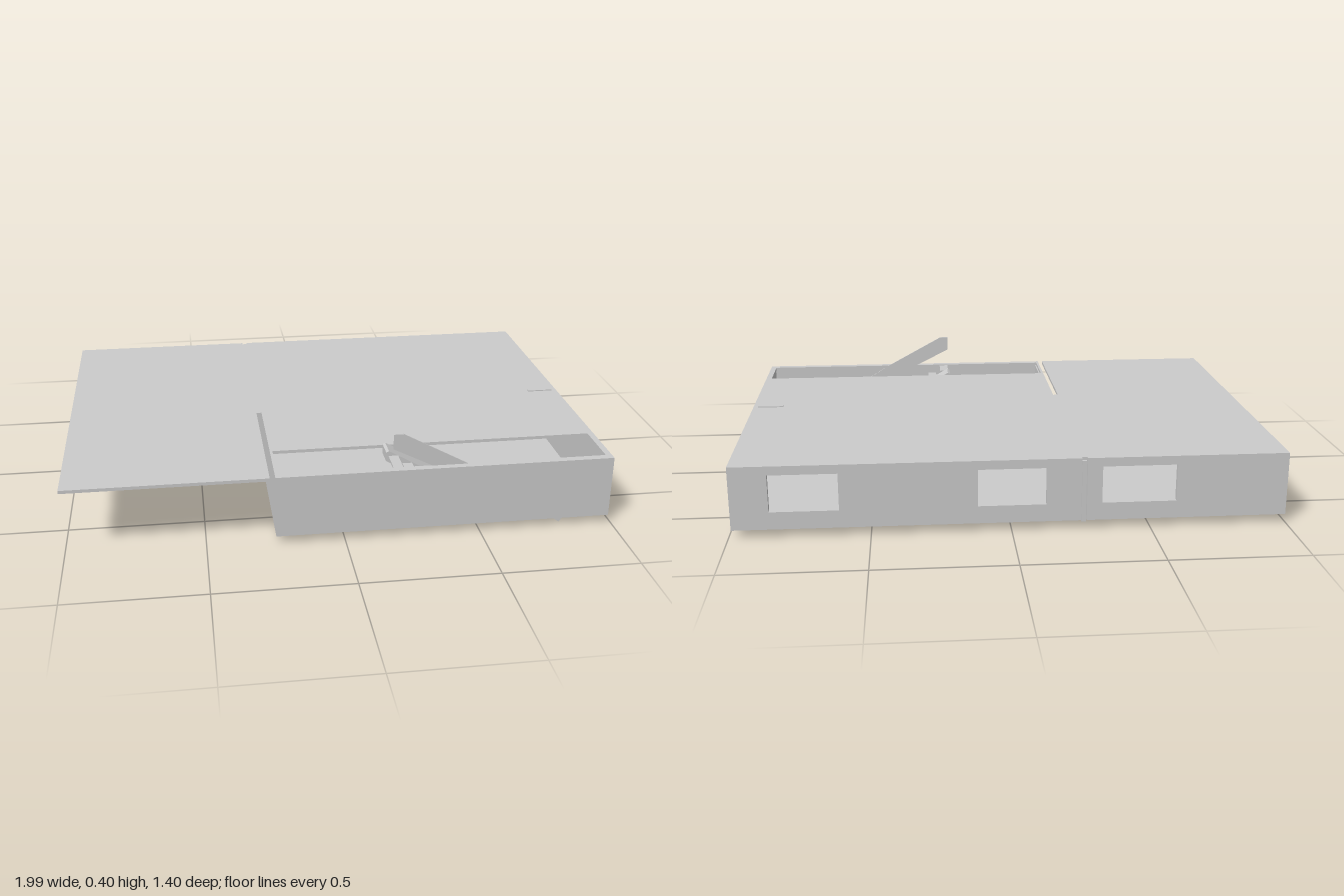
import * as THREE from 'three';

const mat = new THREE.MeshStandardMaterial({ color: 0xcccccc, flatShading: true });

// Polygon helper
function outline(Type, pts) {
  return new Type(pts.map(([x, y]) => new THREE.Vector2(x, y)));
}

const rect = (x0, y0, x1, y1) => [[x0, y0], [x1, y0], [x1, y1], [x0, y1]];

export function createModel() {
  const house = new THREE.Group();
  house.name = 'flatRoofHouse';

  const add = (name, geo) => {
    const mesh = new THREE.Mesh(geo, mat);
    mesh.name = name;
    house.add(mesh);
    return mesh;
  };

  // Box given by its two opposite corners
  const box = (name, x0, y0, z0, x1, y1, z1) => {
    const geo = new THREE.BoxGeometry(x1 - x0, y1 - y0, z1 - z0);
    geo.translate((x0 + x1) / 2, (y0 + y1) / 2, (z0 + z1) / 2);
    return add(name, geo);
  };

  // Extruded panel with optional holes, drawn in x-y and pushed along z
  const panel = (pts, depth, holes = []) => {
    const shape = outline(THREE.Shape, pts);
    shape.holes = holes.map((h) => outline(THREE.Path, h));
    return new THREE.ExtrudeGeometry(shape, { depth, bevelEnabled: false });
  };

  const base = 0.03, under = 0.253, top = 0.265;
  const split = -0.25, wingFront = 0.12;

  // Floors
  box('mainFloor', split, base, -0.7, 0.99, 0.038, 0.7);
  box('wingFloor', -1, base, -0.7, -0.27, 0.038, wingFront);

  // Back walls with windows
  const win = (x0, x1) => rect(x0, 0.095, x1, 0.232);
  add('mainBackWall', panel(rect(split, base, 0.99, under), 0.02,
    [win(0.61, 0.855), win(-0.125, 0.12)])).position.z = -0.7;
  add('wingBackWall', panel(rect(-1, base, -0.27, under), 0.02,
    [win(-0.595, -0.325)])).position.z = -0.7;

  // Side wall with a doorway
  const side = panel([[-0.7, base], [0.615 - 1.23, base], [-0.615, 0.19], [-0.54, 0.19],
    [-0.54, base], [0.7, base], [0.7, under], [-0.7, under]], 0.02);
  side.rotateY(-Math.PI / 2);
  add('doorwayWall', side).position.x = 0.99;

  // Remaining outer walls
  box('frontWall', split, base, 0.675, 0.99, under, 0.7);
  box('mainInnerWall', split, base, -0.68, -0.235, under, 0.675);
  box('wingSideWall', -1, base, -0.7, -0.98, under, wingFront);
  box('wingFrontWall', -0.98, base, wingFront - 0.02, -0.27, under, wingFront);
  box('jointWall', -0.268, 0.022, -0.695, -0.252, under, wingFront);

  // One roof over everything: courtyard opening and a slot beside the carport
  const roof = panel([[-1, 0.7], [-1, -0.7], [-0.27, -0.7], [-0.27, -0.685], [split, -0.685],
    [split, -0.7], [0.99, -0.7], [0.99, 0.7], [split, 0.7], [split, wingFront],
    [-0.27, wingFront], [-0.27, 0.7]], top - under, [rect(-0.24, 0.48, 0.967, 0.672)]);
  roof.rotateX(Math.PI / 2);
  add('roof', roof).position.y = top;
  box('roofStrip', 0.87, top, 0.025, 0.97, 0.269, 0.045);

  // Stairs in the courtyard
  for (let i = 0; i < 7; i++) {
    const x = 0.178 + i * 0.053, y = 0.262 - i * 0.033;
    box('stairTread', x, y - 0.008, 0.57, x + 0.036, y, 0.67);
  }
  add('stairRail', panel([[0.175, 0.338], [0.32, 0.265], [0.77, 0.03], [0.81, 0], [0.83, 0.03],
    [0.45, 0.265], [0.21, 0.395], [0.175, 0.395]], 0.005)).position.z = 0.67;
  add('stairRamp', panel([[0.172, 0.235], [0.52, 0.04], [0.54, 0.04], [0.54, 0.07],
    [0.182, 0.275], [0.172, 0.27]], 0.075)).position.z = 0.482;

  return house;
}
